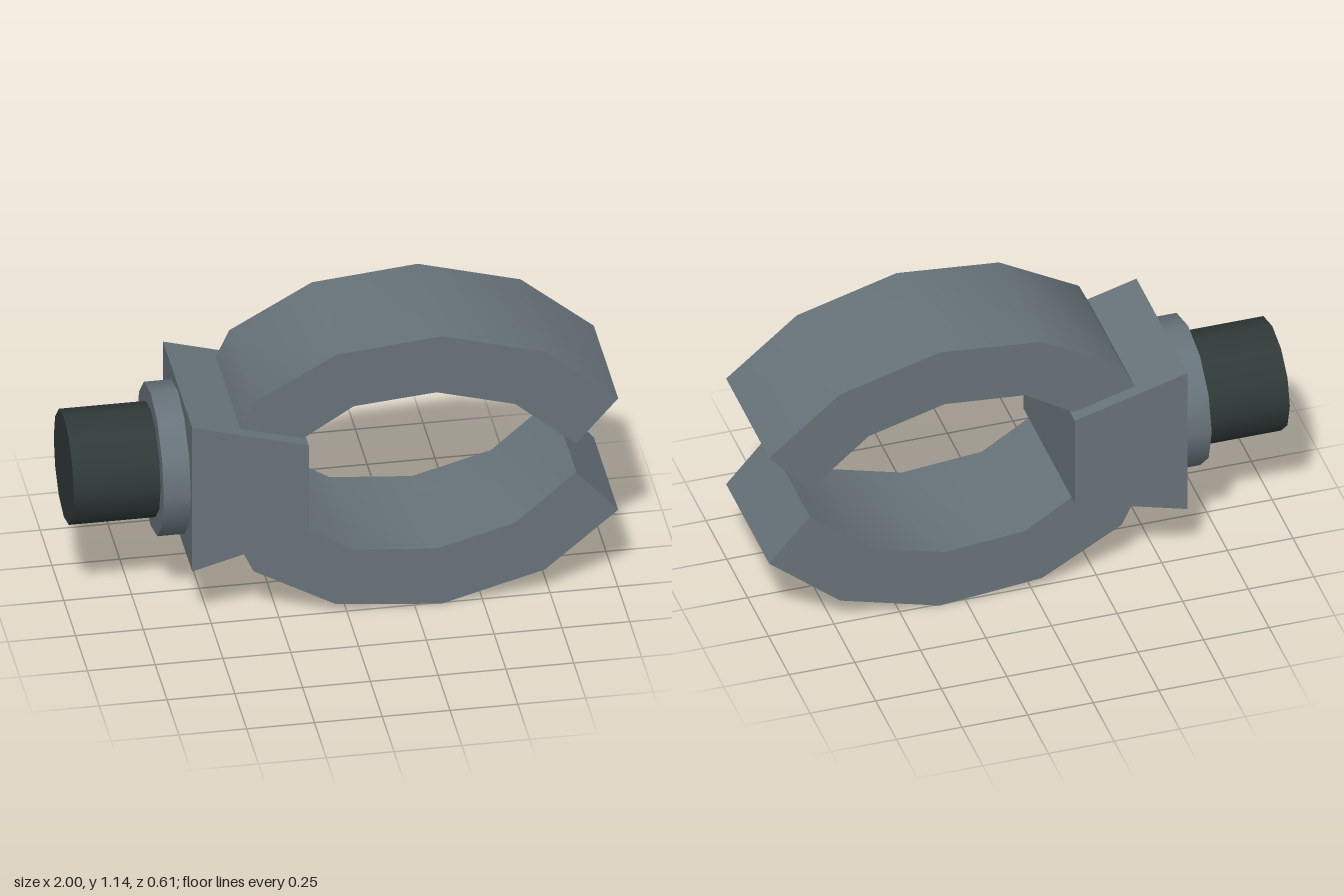
import * as THREE from 'three';
import { toCreasedNormals } from 'three/addons/utils/BufferGeometryUtils.js';

const MID = 0.57; // height of the centre line

export function createModel() {
  const model = new THREE.Group();
  const grey = new THREE.MeshStandardMaterial({ name: 'grey', color: 0x67737a });
  const dark = new THREE.MeshStandardMaterial({ name: 'dark grey', color: 0x2f3a38 });

  const add = (name, geometry, material) => {
    const mesh = new THREE.Mesh(geometry, material);
    mesh.name = name;
    model.add(mesh);
  };

  // Side outline (x, y) extruded symmetrically along z
  const slab = (points, depth) => {
    const shape = new THREE.Shape(points.map(([x, y]) => new THREE.Vector2(x, y)));
    const geometry = new THREE.ExtrudeGeometry(shape, { depth, bevelEnabled: false });
    geometry.translate(0, 0, -depth / 2);
    return toCreasedNormals(geometry, 0.72);
  };

  // Round part lying along x
  const rod = (radius, x0, x1) => {
    const geometry = new THREE.CylinderGeometry(radius, radius, x1 - x0, 12);
    geometry.rotateZ(Math.PI / 2);
    geometry.translate((x0 + x1) / 2, MID, 0);
    return geometry;
  };

  // Wrist
  add('wristShaft', rod(0.212, -1, -0.66), dark);
  add('wristCollar', rod(0.282, -0.68, -0.57), grey);

  // Palm block, tapering towards the claws
  add('palmBlock', slab([
    [-0.58, 0.265], [-0.15, 0.385], [-0.15, 0.755], [-0.58, 0.875],
  ], 0.614), grey);

  // Curved claws: one outline, mirrored about the centre line
  const claw = [
    [-0.395, 0.82], [-0.19, 0.74], [0.025, 0.875], [0.33, 0.902], [0.62, 0.822],
    [0.845, 0.63], [1, 0.807], [0.73, 1.032], [0.35, 1.138], [-0.04, 1.1], [-0.345, 0.928],
  ];
  add('upperClaw', slab(claw, 0.516), grey);
  add('lowerClaw', slab(claw.map(([x, y]) => [x, 2 * MID - y]), 0.516), grey);

  return model;
}
